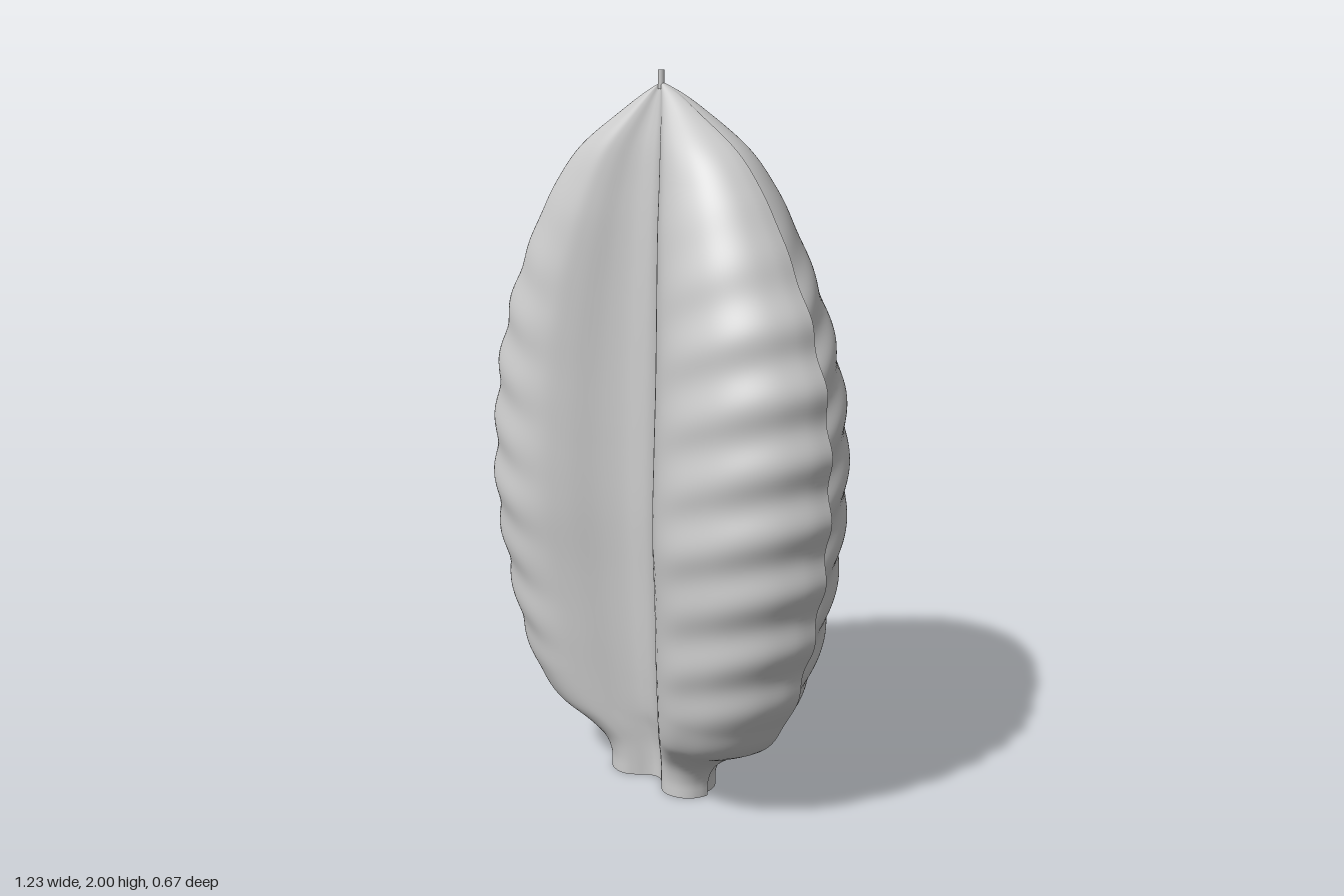
import * as THREE from 'three';

// Height, half width, front lobe depth, back depth
const rows = [
  [0, 0.185, 0.08, 0.125], [0.05, 0.187, 0.081, 0.126], [0.1, 0.215, 0.093, 0.15],
  [0.15, 0.285, 0.125, 0.2], [0.2, 0.385, 0.165, 0.25], [0.3, 0.47, 0.2, 0.3],
  [0.4, 0.515, 0.22, 0.335], [0.6, 0.57, 0.243, 0.375], [0.8, 0.6, 0.262, 0.398],
  [1.0, 0.605, 0.255, 0.405], [1.2, 0.588, 0.238, 0.388], [1.4, 0.53, 0.212, 0.347],
  [1.6, 0.432, 0.172, 0.288], [1.7, 0.37, 0.143, 0.248], [1.8, 0.28, 0.105, 0.192],
  [1.9, 0.128, 0.045, 0.1], [1.94, 0.06, 0.02, 0.05], [1.965, 0.008, 0.004, 0.008],
];
const profile = new THREE.CubicInterpolant(
  rows.map((r) => r[0]), rows.flatMap((r) => r.slice(1)), 3, new Float32Array(3));

// Front cross-section from side edge over the lobe into the groove, mirrored
const half = [[1, 0], [0.985, 0.25], [0.93, 0.55], [0.84, 0.78], [0.72, 0.93],
  [0.56, 1], [0.42, 0.93], [0.3, 0.74], [0.18, 0.48], [0.08, 0.33]];
const frontCurve = new THREE.SplineCurve([
  ...half.map(([u, d]) => new THREE.Vector2(u, d)),
  new THREE.Vector2(0, 0.3),
  ...half.slice().reverse().map(([u, d]) => new THREE.Vector2(-u, d)),
]);

const TOP = 1.965, SEAM = 0.075, LEDGE = 0.013, INSET = 0.91;
const smooth = THREE.MathUtils.smoothstep;
const material = new THREE.MeshStandardMaterial({ color: 0xcccccc, side: THREE.DoubleSide });

// Slanted wrinkles that rise towards the back
function ripple(y, towardsBack) {
  const fade = smooth(y, 0.15, 0.45) * (1 - smooth(y, 1.3, 1.75));
  const groove = 1 - smooth(-towardsBack, 0.4, 0.85);
  const middle = 1 - 0.5 * smooth(towardsBack, 0.5, 1);
  return 1 + 0.014 * fade * groove * middle *
    Math.sin((y - 0.2 * towardsBack) * Math.PI * 2 / 0.17);
}

const centre = (y) => -0.02 + 0.017 * Math.sin(Math.PI * y / 2);

function frontPoint(t, y) {
  const [w, f] = profile.evaluate(y);
  const p = frontCurve.getPoint(t);
  const inner = 1 - Math.abs(p.x);
  const k = ripple(y, -inner);
  const bend = -0.035 * inner * Math.sin(Math.PI * y / 2);
  return [centre(y) + p.x * w * k + bend, y, SEAM + p.y * f * k];
}

function backPoint(t, y) {
  const [w, , b] = profile.evaluate(y);
  const a = Math.PI * t;
  const k = ripple(y, Math.sin(a));
  return [centre(y) - Math.cos(a) * w * INSET * k, y,
    SEAM - Math.min(LEDGE, b) - Math.sin(a) * Math.max(b - LEDGE, 0) * k];
}

// Skin a surface through cross-sections; t runs round the section
function skin(name, point, across, up) {
  const pos = [], index = [];
  for (let j = 0; j <= up; j++) {
    const y = TOP * j / up;
    for (let i = 0; i <= across; i++) pos.push(...point(i / across, y));
  }
  for (let j = 0; j < up; j++) {
    for (let i = 0; i < across; i++) {
      const a = j * (across + 1) + i, b = a + 1, c = a + across + 1, d = c + 1;
      index.push(a, c, b, b, c, d);
    }
  }
  const g = new THREE.BufferGeometry();
  g.setAttribute('position', new THREE.Float32BufferAttribute(pos, 3));
  g.setIndex(index);
  g.computeVertexNormals();
  const mesh = new THREE.Mesh(g, material);
  mesh.name = name;
  return mesh;
}

export function createModel() {
  const group = new THREE.Group();
  group.name = 'seedPod';

  // Grooved front and domed back
  group.add(skin('frontShell', frontPoint, 96, 160));
  group.add(skin('backShell', backPoint, 80, 160));

  // Narrow ledges joining the wider front to the back
  const ledge = (frontT, backT) => (t, y) => {
    const a = frontPoint(frontT, y), b = backPoint(backT, y);
    return a.map((v, i) => v + (b[i] - v) * t);
  };
  group.add(skin('rightLedge', ledge(1, 0), 1, 160));
  const left = ledge(0, 1);
  group.add(skin('leftLedge', (t, y) => left(1 - t, y), 1, 160));

  // Small stalk at the tip
  const stalk = new THREE.Mesh(new THREE.CylinderGeometry(0.009, 0.009, 0.05, 12), material);
  stalk.name = 'tipStalk';
  stalk.position.set(-0.02, 1.975, SEAM);
  group.add(stalk);

  return group;
}
